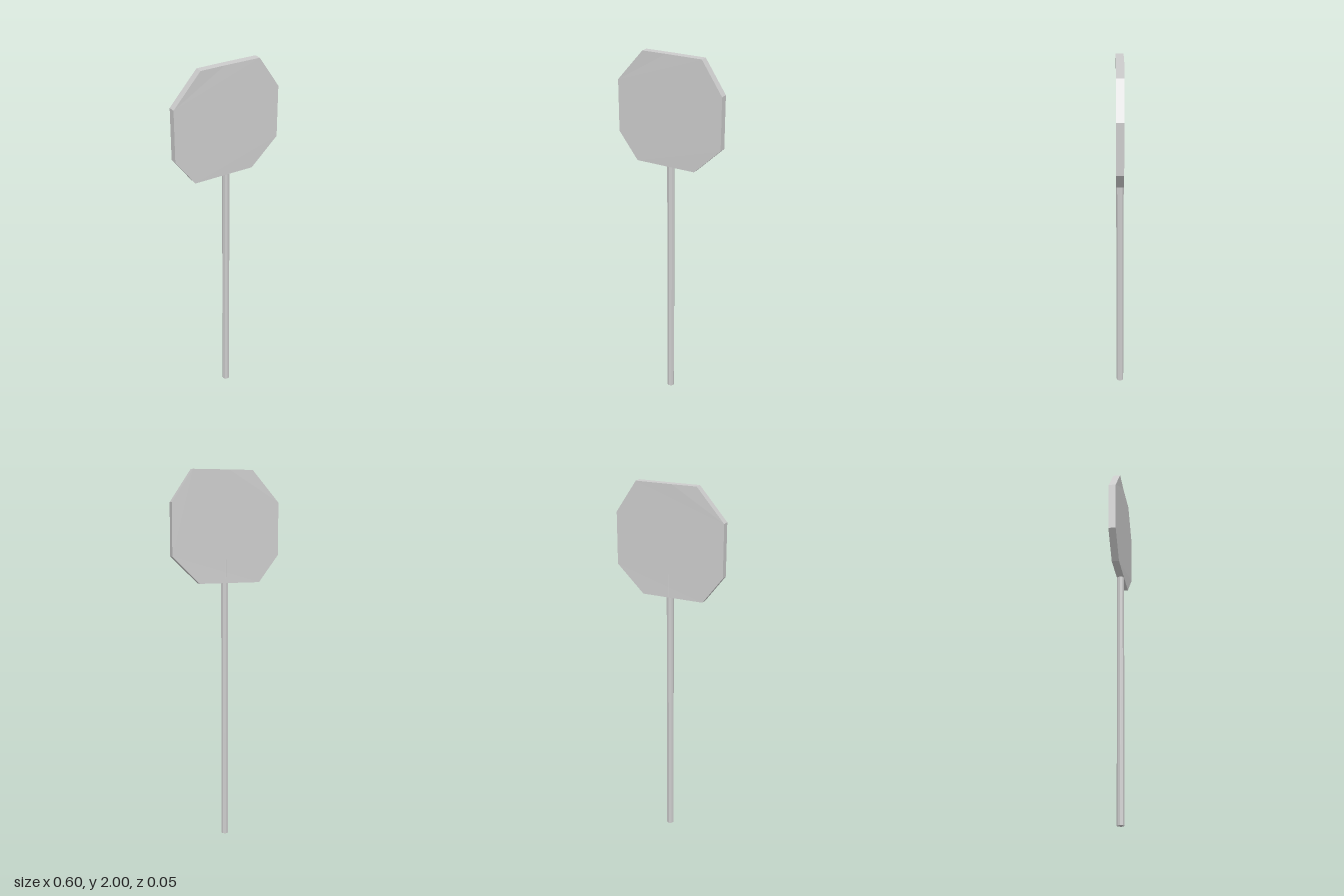
import * as THREE from 'three';

const material = () => new THREE.MeshStandardMaterial({ color: 0xcccccc, flatShading: true });

// Slight warp of the panel: depth offset as a function of x
function warp(x) {
  if (x < -0.14) return 0.001;
  if (x < 0) return -0.003;
  return -0.004;
}

export function createModel() {
  const group = new THREE.Group();
  group.name = 'signpost';

  // Irregular eight-sided panel
  const outline = [
    [-0.15, 2], [-0.30, 1.83], [-0.30, 1.55], [-0.19, 1.405],
    [0.15, 1.405], [0.30, 1.55], [0.30, 1.83], [0.185, 2], [-0.015, 2],
  ];
  const shape = new THREE.Shape(outline.map(([x, y]) => new THREE.Vector2(x, y)));
  const thickness = 0.04;
  const panelGeometry = new THREE.ExtrudeGeometry(shape, { depth: thickness, bevelEnabled: false });
  panelGeometry.translate(0, 0, -thickness / 2);
  const position = panelGeometry.attributes.position;
  for (let i = 0; i < position.count; i++) {
    position.setZ(i, position.getZ(i) + warp(position.getX(i)));
  }
  panelGeometry.computeVertexNormals();
  const panel = new THREE.Mesh(panelGeometry, material());
  panel.name = 'signPanel';
  group.add(panel);

  // Thin post running a little way up into the panel
  const height = 1.53;
  const post = new THREE.Mesh(new THREE.CylinderGeometry(0.02, 0.02, height, 8), material());
  post.position.set(0.002, height / 2, -0.002);
  post.name = 'post';
  group.add(post);

  return group;
}
